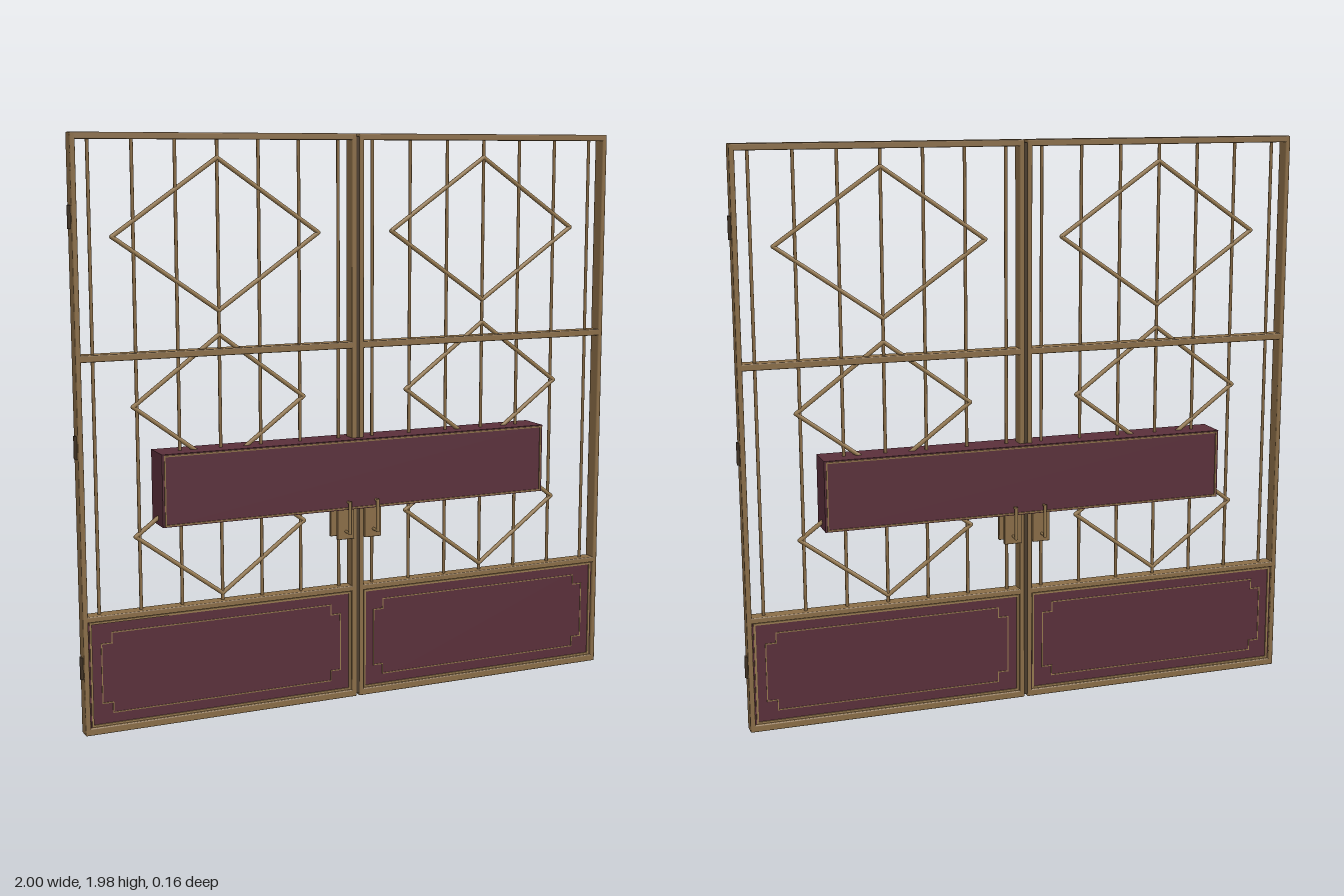
import * as THREE from 'three';
import { RoundedBoxGeometry } from 'three/addons/geometries/RoundedBoxGeometry.js';

const paint = (color) => new THREE.MeshStandardMaterial({ color });

export function createModel() {
  const gate = new THREE.Group();
  gate.name = 'doubleGate';
  const bronze = paint(0x8a6d47), gold = paint(0x96794f), dark = paint(0x4a3b2b), maroon = paint(0x5a2f3a);

  const add = (parent, name, geometry, material, x, y, z) => {
    const mesh = new THREE.Mesh(geometry, material);
    mesh.name = name;
    mesh.position.set(x, y, z);
    parent.add(mesh);
    return mesh;
  };
  // Box given by its limits in x and y and its depth about z
  const slab = (parent, name, x0, x1, y0, y1, depth, material, z = 0, bevel = 0) => {
    const size = [x1 - x0, y1 - y0, depth];
    const geometry = bevel ? new RoundedBoxGeometry(...size, 1, bevel) : new THREE.BoxGeometry(...size);
    return add(parent, name, geometry, material, (x0 + x1) / 2, (y0 + y1) / 2, z);
  };
  // Round rod between two points
  const rod = (parent, name, a, b, radius, material) => {
    const from = new THREE.Vector3(...a), to = new THREE.Vector3(...b);
    const dir = to.clone().sub(from), mid = from.clone().add(to).multiplyScalar(0.5);
    const mesh = add(parent, name, new THREE.CylinderGeometry(radius, radius, dir.length(), 10), material, mid.x, mid.y, mid.z);
    mesh.quaternion.setFromUnitVectors(new THREE.Vector3(0, 1, 0), dir.normalize());
  };
  // Closed outline of thin square strips in the x-y plane
  const outline = (parent, name, points, width, z, material) => {
    points.forEach(([x0, y0], i) => {
      const [x1, y1] = points[(i + 1) % points.length], w = width / 2;
      slab(parent, name, Math.min(x0, x1) - w, Math.max(x0, x1) + w,
        Math.min(y0, y1) - w, Math.max(y0, y1) + w, width, material, z);
    });
  };
  const rectangle = (cx, cy, w, h) => [[cx - w, cy - h], [cx + w, cy - h], [cx + w, cy + h], [cx - w, cy + h]];

  const cx = 0.497;
  for (const side of [1, -1]) {
    const leaf = new THREE.Group();
    leaf.name = side > 0 ? 'leftLeaf' : 'rightLeaf';
    gate.add(leaf);
    const m = side * cx;
    const span = (a, b) => (side > 0 ? [a, b] : [-b, -a]);

    // Stiles and rails
    slab(leaf, 'outerStile', ...span(0.974, 0.992), 0, 1.975, 0.05, bronze, 0, 0.004);
    slab(leaf, 'innerStile', ...span(0.005, 0.023), 0, 1.975, 0.05, bronze, 0, 0.004);
    for (const [name, y0, y1] of [['bottomRail', 0, 0.025], ['lowerRail', 0.387, 0.407],
      ['middleRail', 1.247, 1.27], ['topRail', 1.953, 1.975]]) {
      slab(leaf, name, ...span(0.008, 0.99), y0, y1, 0.05, bronze, 0, 0.004);
    }

    // Vertical bars
    for (let i = -3; i <= 3; i++) {
      const x = m + i * 0.1443;
      rod(leaf, 'bar', [x, 0.4, 0], [x, 1.96, 0], 0.0058, bronze);
    }

    // Diamonds: centre height, half width, half height
    for (const [y, w, h] of [[1.645, 0.36, 0.25], [1.09, 0.302, 0.225], [0.655, 0.302, 0.225]]) {
      const corners = [[m + w, y, 0], [m, y + h, 0], [m - w, y, 0], [m, y - h, 0]];
      corners.forEach((p, i) => {
        rod(leaf, 'diamond', p, corners[(i + 1) % 4], 0.0075, gold);
        add(leaf, 'diamondCorner', new THREE.SphereGeometry(0.0075, 10, 8), gold, ...p);
      });
    }

    // Kick panel with border and notched inlay on both faces
    const cy = 0.206, w = 0.432, h = 0.138, n = 0.036;
    slab(leaf, 'kickPanel', ...span(0.02, 0.978), 0.02, 0.39, 0.03, maroon);
    const notched = [[-w + n, -h], [w - n, -h], [w - n, -h + n], [w, -h + n], [w, h - n], [w - n, h - n],
      [w - n, h], [-w + n, h], [-w + n, h - n], [-w, h - n], [-w, -h + n], [-w + n, -h + n]]
      .map(([x, y]) => [m + x, cy + y]);
    for (const face of [1, -1]) {
      outline(leaf, 'panelBorder', rectangle(m, cy, 0.468, 0.176), 0.007, face * 0.016, gold);
      outline(leaf, 'panelInlay', notched, 0.0035, face * 0.0155, gold);

      // Handle plate and pull
      const x = side * 0.053, z = face * 0.073;
      slab(leaf, 'handlePlate', ...span(0.02, 0.084), 0.58, 0.75, 0.014, bronze, face * 0.031, 0.003);
      rod(leaf, 'handleGrip', [x, 0.605, z], [x, 0.722, z], 0.006, gold);
      for (const y of [0.609, 0.717]) rod(leaf, 'handlePost', [x, y, face * 0.03], [x, y, z], 0.005, gold);
    }

    // Hinges
    for (const y of [0.23, 0.97, 1.71]) {
      add(leaf, 'hinge', new THREE.CylinderGeometry(0.013, 0.013, 0.076, 16), dark, side * 0.987, y, 0);
    }
  }

  // Dark meeting strip between the leaves
  slab(gate, 'meetingStrip', -0.008, 0.008, 0.01, 1.965, 0.046, dark);

  // Raised centre box with slim edging on both faces
  slab(gate, 'centreBox', -0.722, 0.722, 0.69, 0.935, 0.116, maroon);
  for (const face of [1, -1]) {
    outline(gate, 'centreBoxTrim', rectangle(0, 0.8125, 0.713, 0.1165), 0.005, face * 0.0595, bronze);
  }
  return gate;
}
